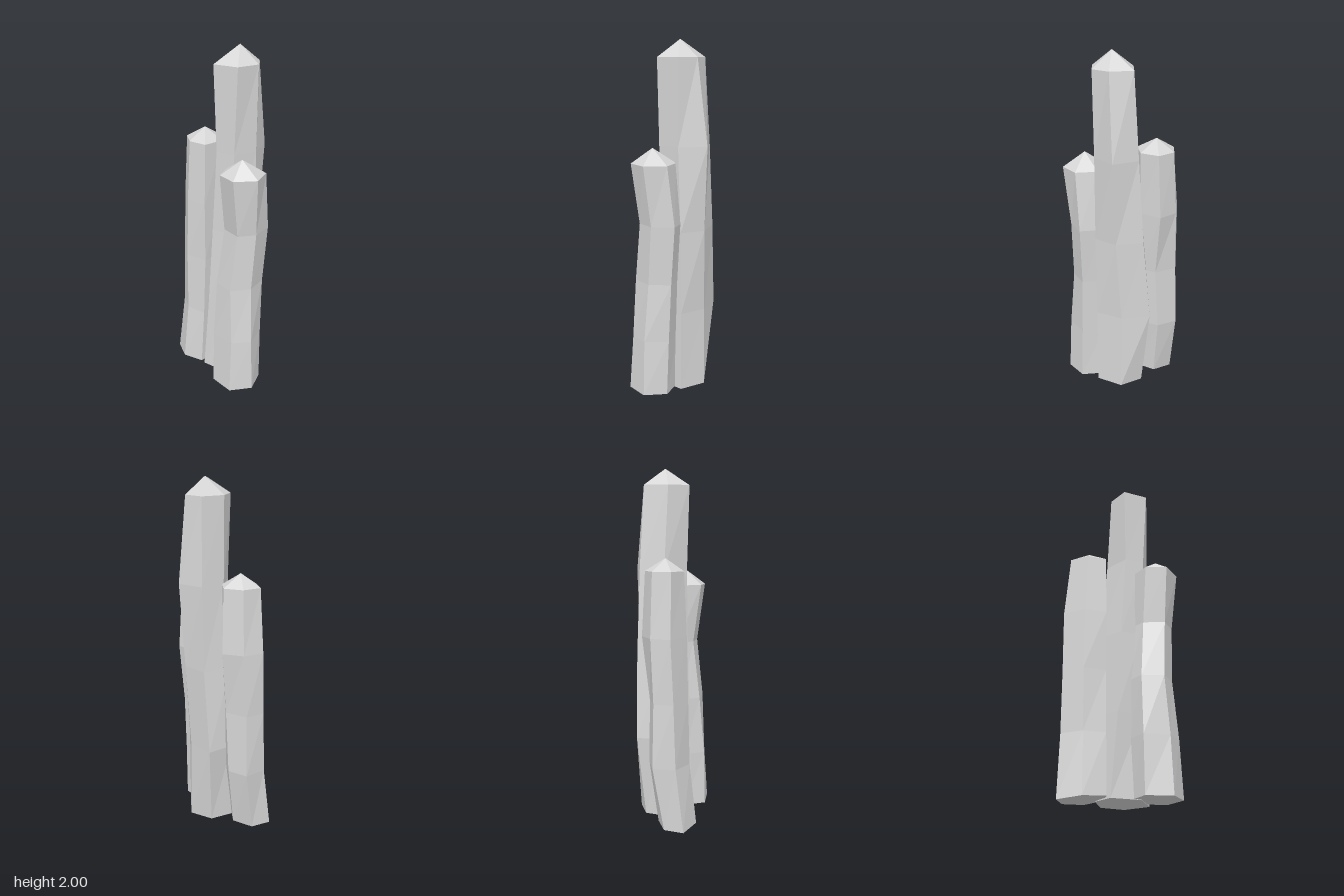
import * as THREE from 'three';

const stone = new THREE.MeshStandardMaterial({ color: 0xd6d6d6, flatShading: true });
stone.name = 'light grey stone';

// Faceted six-sided shaft lofted through evenly spaced rings of [x, z] corners,
// closed by a flat base and a low pointed tip.
function crystal(name, base, top, tip, rings) {
  const loops = rings.map((ring, k) => ring.map(([x, z]) => {
    const y = k === 0 ? base(z) : top * k / (rings.length - 1);
    return new THREE.Vector3(x, y, z);
  }));
  const points = [];
  const n = 6;
  const apex = new THREE.Vector3(...tip);
  const floor = loops[0].reduce((s, p) => s.add(p), new THREE.Vector3()).divideScalar(n);
  for (let i = 0; i < n; i++) {
    const j = (i + 1) % n;
    // sides
    for (let k = 0; k + 1 < loops.length; k++) {
      const lo = loops[k], hi = loops[k + 1];
      points.push(lo[j], lo[i], hi[i], lo[j], hi[i], hi[j]);
    }
    // tip and base
    const last = loops[loops.length - 1];
    points.push(last[j], last[i], apex);
    points.push(loops[0][i], loops[0][j], floor);
  }
  const geometry = new THREE.BufferGeometry().setFromPoints(points);
  geometry.computeVertexNormals();
  const mesh = new THREE.Mesh(geometry, stone);
  mesh.name = name;
  return mesh;
}

export function createModel() {
  const group = new THREE.Group();
  group.name = 'crystalCluster';

  // Corners run from the right side, round the front, to the back
  group.add(crystal('tallCrystal', () => 0.012, 1.905, [0.07, 2, 0.033], [
    [[0.19, -0.05], [0.155, 0.105], [-0.03, 0.12], [-0.135, -0.01], [-0.07, -0.12], [0.09, -0.15]],
    [[0.185, -0.052], [0.155, 0.105], [0, 0.12], [-0.11, 0.02], [-0.03, -0.15], [0.115, -0.203]],
    [[0.207, -0.025], [0.155, 0.11], [0, 0.12], [-0.085, 0.03], [-0.03, -0.12], [0.135, -0.165]],
    [[0.235, -0.015], [0.14, 0.115], [0.01, 0.135], [-0.065, 0.05], [0, -0.09], [0.135, -0.135]],
    [[0.185, 0.015], [0.145, 0.12], [0.02, 0.157], [-0.08, 0.05], [-0.01, -0.063], [0.125, -0.103]],
  ]));

  group.add(crystal('frontCrystal', () => 0.015, 1.34, [0.033, 1.425, 0.205], [
    [[0.15, 0.21], [0.07, 0.318], [-0.065, 0.305], [-0.125, 0.17], [-0.04, 0.07], [0.1, 0.09]],
    [[0.155, 0.2], [0.065, 0.305], [-0.05, 0.29], [-0.12, 0.165], [-0.04, 0.06], [0.1, 0.08]],
    [[0.165, 0.19], [0.07, 0.275], [-0.05, 0.265], [-0.095, 0.15], [-0.03, 0.05], [0.11, 0.07]],
    [[0.193, 0.19], [0.095, 0.275], [-0.01, 0.265], [-0.05, 0.15], [0, 0.05], [0.135, 0.07]],
    [[0.165, 0.218], [0.085, 0.318], [-0.045, 0.295], [-0.085, 0.18], [-0.02, 0.085], [0.115, 0.105]],
  ]));

  group.add(crystal('backCrystal', z => 0.024 + z * 0.08, 1.435, [-0.068, 1.505, -0.183], [
    [[-0.03, -0.2], [-0.05, -0.08], [-0.148, -0.025], [-0.235, -0.125], [-0.235, -0.265], [-0.12, -0.283]],
    [[0.01, -0.23], [-0.005, -0.11], [-0.125, -0.04], [-0.2, -0.14], [-0.19, -0.275], [-0.07, -0.322]],
    [[0.02, -0.21], [-0.005, -0.11], [-0.11, -0.05], [-0.195, -0.15], [-0.18, -0.28], [-0.07, -0.31]],
    [[0.05, -0.24], [0.005, -0.11], [-0.11, -0.05], [-0.185, -0.15], [-0.167, -0.29], [-0.05, -0.308]],
    [[0.04, -0.222], [0.015, -0.113], [-0.1, -0.062], [-0.167, -0.15], [-0.155, -0.262], [-0.05, -0.288]],
  ]));

  return group;
}
